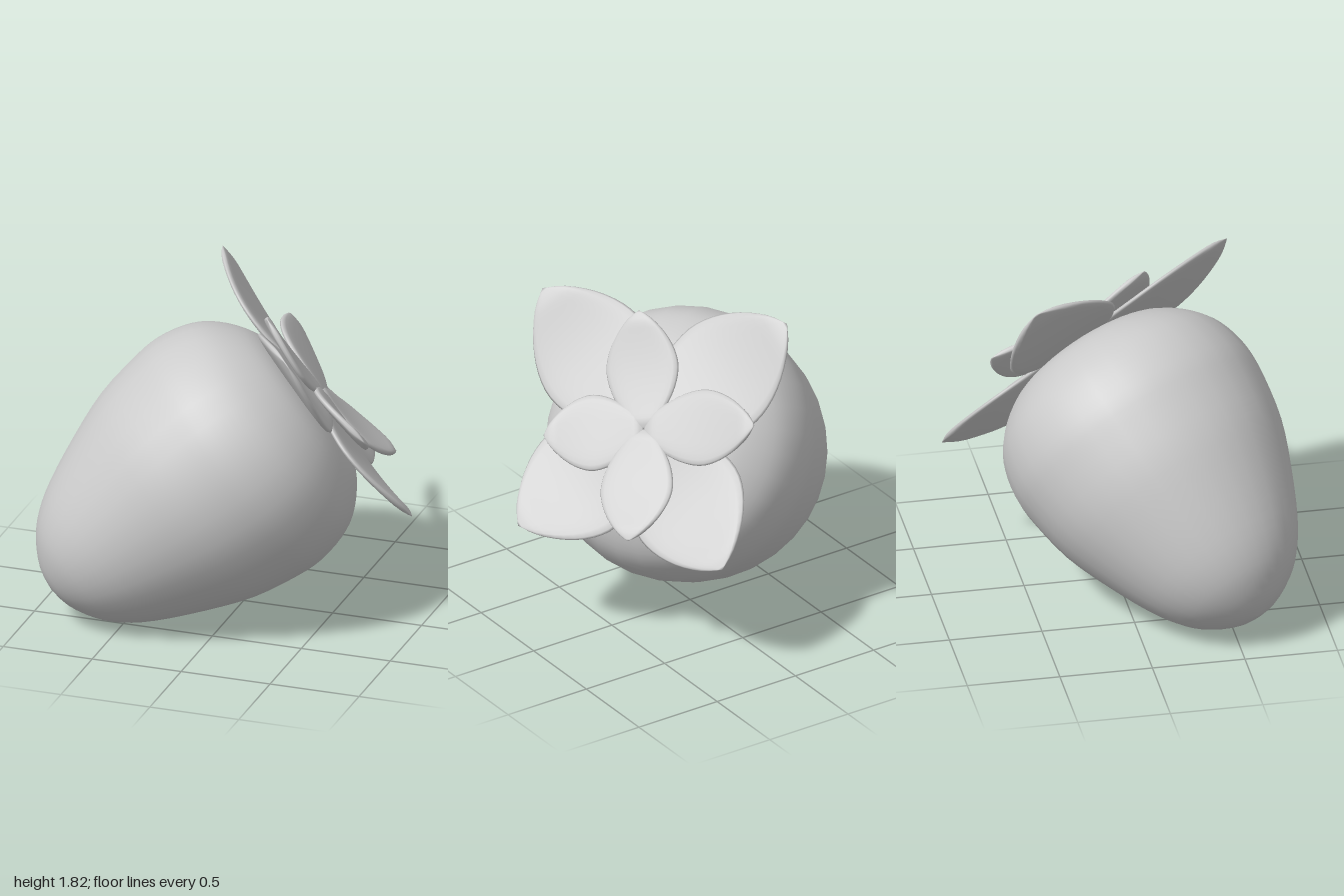
import * as THREE from 'three';
import { mergeVertices } from 'three/addons/utils/BufferGeometryUtils.js';

const AXIS = new THREE.Vector3(0.705, 0.584, -0.403).normalize(); // tip to leafy crown
const MIDDLE = new THREE.Vector3(-0.1, 0.825, 0.15);              // centre of the widest ring
const CROWN = new THREE.Vector3(0.385, 1.215, -0.13);             // where the leaves meet

const curve = (points) => new THREE.SplineCurve(points.map(([x, y]) => new THREE.Vector2(x, y)));

// Fruit: [radius, height along the axis]
const FRUIT = curve([
  [0, -1.1], [0.13, -1.075], [0.265, -1.0], [0.37, -0.9], [0.468, -0.75], [0.585, -0.5],
  [0.68, -0.25], [0.727, 0], [0.735, 0.15], [0.705, 0.3], [0.645, 0.42], [0.535, 0.53],
  [0.41, 0.6], [0.22, 0.64], [0, 0.65],
]);

// Leaf outline: [half width, distance along the leaf], both relative
const LEAF = curve([
  [0, 0], [0.35, 0.06], [0.62, 0.17], [0.88, 0.33], [1, 0.5],
  [0.92, 0.65], [0.68, 0.8], [0.33, 0.93], [0, 1],
]);

const power = (v, e) => Math.sign(v) * Math.pow(Math.abs(v), e);

// A sphere reshaped into a thin, rounded, slightly sagging blade along +y
function leafGeometry(length, halfWidth, sag) {
  let geo = new THREE.SphereGeometry(1, 20, 24);
  geo.deleteAttribute('uv');
  geo.deleteAttribute('normal');
  geo = mergeVertices(geo, 1e-5);
  const pos = geo.attributes.position;
  for (let i = 0; i < pos.count; i++) {
    const x = pos.getX(i), z = pos.getZ(i);
    const y = THREE.MathUtils.clamp(pos.getY(i), -1, 1);
    const ring = Math.max(Math.hypot(x, z), 1e-6);
    const p = LEAF.getPoint(1 - Math.acos(y) / Math.PI);
    const thick = 0.02 * Math.min(1, Math.max(0, p.x) * 2.5);
    pos.setXYZ(i,
      halfWidth * p.x * power(x / ring, 0.7),
      length * p.y,
      thick * power(z / ring, 0.5) - sag * Math.sin(Math.PI * p.y));
  }
  geo.computeVertexNormals();
  return geo;
}

export function createModel() {
  const group = new THREE.Group();
  const material = new THREE.MeshStandardMaterial({ color: 0xcccccc });

  const fruit = new THREE.Mesh(new THREE.LatheGeometry(FRUIT.getPoints(42), 32), material);
  fruit.name = 'fruit';
  fruit.position.copy(MIDDLE);
  fruit.quaternion.setFromUnitVectors(new THREE.Vector3(0, 1, 0), AXIS);
  group.add(fruit);

  // Leaves, each reaching from the crown to its tip
  const crown = new THREE.Group();
  crown.name = 'crown';
  const addLeaves = (name, tips, halfWidth, sag) => tips.forEach((tip) => {
    const dir = new THREE.Vector3(...tip).sub(CROWN);
    const length = dir.length();
    dir.normalize();
    const side = new THREE.Vector3().crossVectors(dir, AXIS).normalize();
    const normal = new THREE.Vector3().crossVectors(side, dir);
    const leaf = new THREE.Mesh(leafGeometry(length, halfWidth, sag), material);
    leaf.name = name;
    leaf.position.copy(CROWN);
    leaf.quaternion.setFromRotationMatrix(new THREE.Matrix4().makeBasis(side, dir, normal));
    crown.add(leaf);
  });
  addLeaves('largeLeaf',
    [[0.48, 1.72, 0.69], [-0.29, 1.81, -0.49], [0.38, 0.7, -0.87], [1.0, 0.69, 0.15]], 0.325, 0.055);
  addLeaves('smallLeaf',
    [[0.2, 1.73, 0.19], [0.04, 1.38, -0.67], [0.7, 0.78, -0.45], [0.77, 1.12, 0.25]], 0.205, 0.02);
  group.add(crown);
  return group;
}
